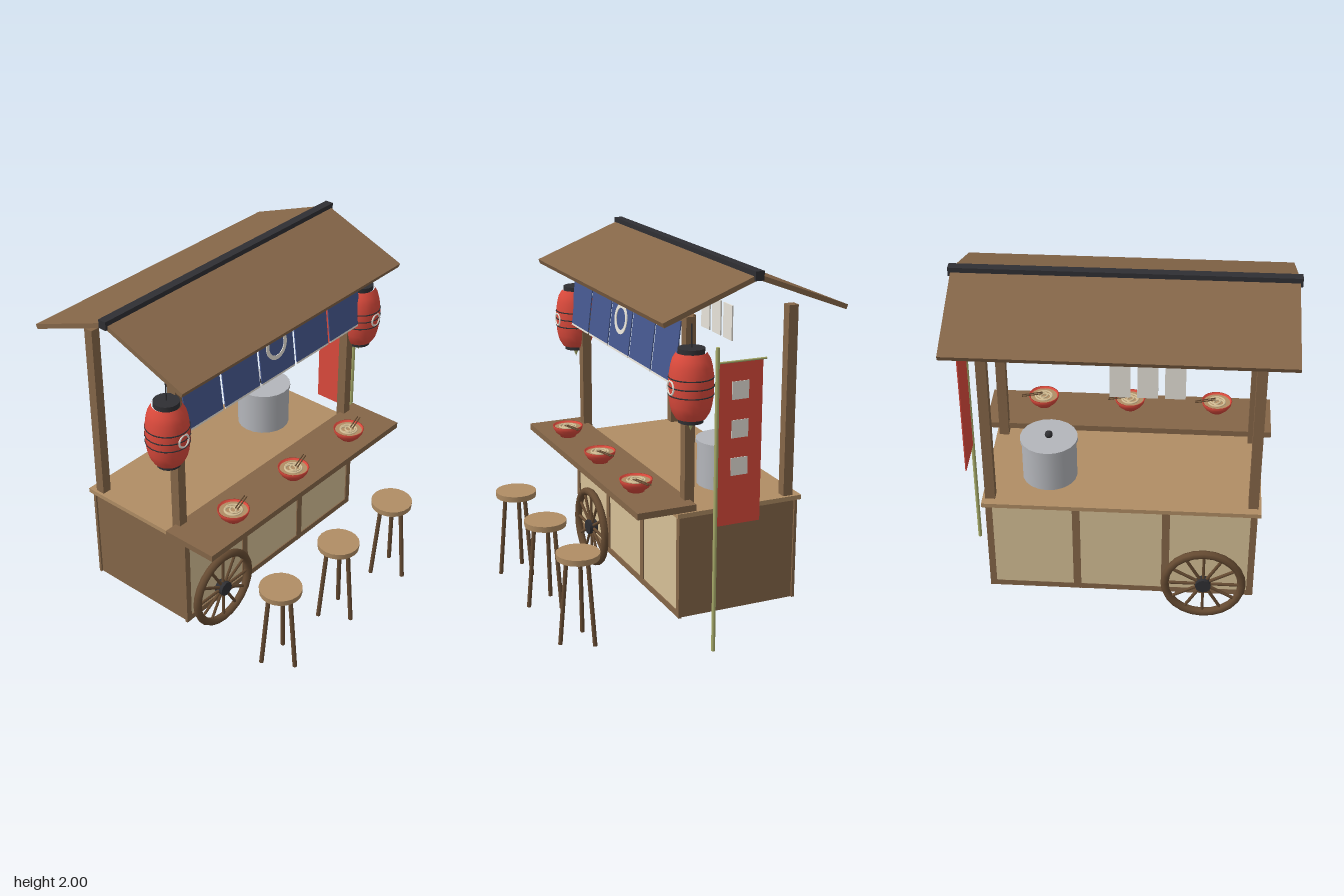
import * as THREE from 'three';

const mat = (name, color) => {
  const m = new THREE.MeshStandardMaterial({ color });
  m.name = name;
  return m;
};

export function createModel() {
  const wood = mat('wood', 0x856648);
  const darkWood = mat('dark wood', 0x664b32);
  const tan = mat('light wood', 0xb08d64);
  const cream = mat('cream panel', 0xd6c096);
  const red = mat('red', 0xdb4a3c);
  const blue = mat('blue cloth', 0x46588f);
  const black = mat('black', 0x2f2f33);
  const metal = mat('metal', 0xb4b6bb);
  const bamboo = mat('bamboo', 0xa9ad6b);
  const white = mat('white', 0xe8e4da);

  const model = new THREE.Group();
  model.name = 'foodStall';

  const group = (name, x = 0, y = 0, z = 0, parent = model) => {
    const g = new THREE.Group();
    g.name = name;
    g.position.set(x, y, z);
    parent.add(g);
    return g;
  };
  const add = (name, geo, material, x = 0, y = 0, z = 0, parent = model) => {
    const m = new THREE.Mesh(geo, material);
    m.name = name;
    m.position.set(x, y, z);
    parent.add(m);
    return m;
  };
  // Box given by its limits on each axis
  const box = (name, material, x0, x1, y0, y1, z0, z1, parent = model) =>
    add(name, new THREE.BoxGeometry(x1 - x0, y1 - y0, z1 - z0), material,
      (x0 + x1) / 2, (y0 + y1) / 2, (z0 + z1) / 2, parent);
  // Round bar between two points
  const bar = (name, material, a, b, r, parent = model, sides = 8) => {
    const p = new THREE.Vector3(...a), q = new THREE.Vector3(...b);
    const d = q.clone().sub(p);
    const m = add(name, new THREE.CylinderGeometry(r, r, d.length(), sides), material, 0, 0, 0, parent);
    m.position.copy(p).add(q).multiplyScalar(0.5);
    m.quaternion.setFromUnitVectors(new THREE.Vector3(0, 1, 0), d.normalize());
    return m;
  };
  const lathe = (pts, sides) =>
    new THREE.LatheGeometry(pts.map(([r, y]) => new THREE.Vector2(r, y)), sides);

  // Cart body with framed panels on front and back
  box('cartBody', wood, -0.72, 0.72, 0.15, 0.725, -0.545, 0.12);
  box('counterTop', tan, -0.75, 0.75, 0.72, 0.745, -0.57, 0.15);
  for (const [side, z] of [['front', 0.125], ['back', -0.55]]) {
    for (const x of [-0.713, -0.243, 0.243, 0.713]) {
      const w = Math.abs(x) > 0.5 ? 0.018 : 0.021;
      box(side + 'Stile', wood, x - w, x + w, 0.15, 0.72, z - 0.008, z + 0.008);
    }
    box(side + 'Rail', wood, -0.72, 0.72, 0.15, 0.185, z - 0.007, z + 0.007);
    for (const x of [-0.48, 0, 0.48]) {
      box(side + 'Panel', cream, x - 0.225, x + 0.225, 0.18, 0.72, z - 0.006, z + 0.001);
    }
  }

  // Serving shelf
  box('servingShelf', wood, -0.81, 0.81, 0.775, 0.81, 0.075, 0.4);

  // Posts and front beam
  for (const x of [-0.707, 0.707]) {
    for (const z of [0.079, -0.498]) {
      box('post', wood, x - 0.027, x + 0.027, 0.74, 1.775, z - 0.027, z + 0.027);
    }
  }
  box('frontBeam', wood, -0.765, 0.765, 1.72, 1.775, 0.07, 0.118);

  // Pitched roof and ridge
  const slope = Math.atan2(0.195, 0.51);
  for (const s of [1, -1]) {
    const slab = add('roofSlope', new THREE.BoxGeometry(1.76, 0.026, 0.546), wood,
      0, 1.872, -0.213 + s * 0.253);
    slab.rotation.x = s * slope;
  }
  box('roofRidge', black, -0.893, 0.893, 1.952, 2, -0.237, -0.189);

  // Wheels
  for (const z of [0.153, -0.575]) {
    const wheel = group('wheel', -0.455, 0.238, z);
    add('rim', new THREE.TorusGeometry(0.213, 0.023, 8, 24), darkWood, 0, 0, 0, wheel);
    for (let i = 0; i < 12; i++) {
      const a = i * Math.PI / 6;
      bar('spoke', darkWood, [0, 0, 0], [0.205 * Math.cos(a), 0.205 * Math.sin(a), 0], 0.009, wheel, 6);
    }
    bar('hub', black, [0, 0, -0.026], [0, 0, 0.026], 0.043, wheel, 12);
  }

  // Three-legged stools
  for (const x of [-0.5, 0, 0.5]) {
    const stool = group('stool', x, 0, 0.603);
    add('seat', new THREE.CylinderGeometry(0.117, 0.115, 0.033, 20), tan, 0, 0.503, 0, stool);
    for (let i = 0; i < 3; i++) {
      const a = Math.PI / 2 + i * Math.PI * 2 / 3;
      const c = Math.cos(a), s = Math.sin(a);
      bar('leg', darkWood, [0.107 * c, 0.015, 0.107 * s], [0.065 * c, 0.49, 0.065 * s], 0.0125, stool);
    }
  }

  // Bowls of noodles with chopsticks
  const bowlGeo = lathe([[0, 0], [0.045, 0], [0.047, 0.008], [0.07, 0.025], [0.083, 0.046],
    [0.088, 0.066], [0.081, 0.066], [0.074, 0.048], [0, 0.048]], 20);
  for (const x of [-0.5, 0, 0.5]) {
    const bowl = group('bowl', x, 0.81, 0.275);
    add('bowlShell', bowlGeo, red, 0, 0, 0, bowl);
    add('broth', new THREE.CylinderGeometry(0.077, 0.075, 0.006, 20), tan, 0, 0.053, 0, bowl);
    for (const [r, dx, dz] of [[0.047, 0, 0], [0.028, 0.008, 0.006], [0.03, -0.012, -0.01]]) {
      const coil = add('noodle', new THREE.TorusGeometry(r, 0.006, 6, 18), cream, dx, 0.058, dz, bowl);
      coil.rotation.x = Math.PI / 2;
    }
    for (const dz of [0, 0.016]) {
      bar('chopstick', darkWood, [0.01, 0.068, 0.005 + dz], [0.125, 0.068, -0.03 + dz], 0.0035, bowl, 6);
    }
  }

  // Stock pot
  const pot = group('stockPot', 0.407, 0.745, -0.285);
  add('potBody', new THREE.CylinderGeometry(0.15, 0.15, 0.235, 20), metal, 0, 0.1175, 0, pot);
  add('potLid', new THREE.CylinderGeometry(0.157, 0.157, 0.02, 20), metal, 0, 0.243, 0, pot);
  add('lidKnob', new THREE.SphereGeometry(0.022, 12, 8), black, 0, 0.267, 0, pot);

  // Curtain of five cloths, hanging slightly forward
  const curtain = group('curtain', 0, 1.745, 0.124);
  curtain.rotation.x = -0.12;
  for (let i = -2; i <= 2; i++) {
    const x = i * 0.29;
    box('curtainCloth', blue, x - 0.136, x + 0.136, -0.315, 0, -0.003, 0.003, curtain);
    box('curtainHem', white, x - 0.136, x + 0.136, -0.326, -0.315, -0.003, 0.003, curtain);
  }
  const ring = new THREE.Shape().absarc(0, 0, 0.083, 0, Math.PI * 2);
  ring.holes.push(new THREE.Path().absarc(0, 0, 0.06, 0, Math.PI * 2, true));
  add('curtainRing', new THREE.ExtrudeGeometry(ring, { depth: 0.004, bevelEnabled: false, curveSegments: 16 }),
    white, 0, -0.142, 0.003, curtain);

  // Paper lanterns
  const lanternR = y => 0.066 + 0.049 * Math.sqrt(Math.max(0, 1 - (y / 0.172) ** 2));
  const profile = [];
  for (let i = 0; i <= 10; i++) {
    const y = -0.168 + i * 0.0336;
    profile.push([lanternR(y), y]);
  }
  const paper = lathe(profile, 20);
  for (const x of [-0.795, 0.795]) {
    const lantern = group('lantern', x, 1.44, 0.105);
    add('lanternPaper', paper, red, 0, 0, 0, lantern);
    add('topCap', new THREE.CylinderGeometry(0.068, 0.068, 0.028, 20), black, 0, 0.176, 0, lantern);
    add('bottomCap', new THREE.CylinderGeometry(0.064, 0.064, 0.028, 20), black, 0, -0.176, 0, lantern);
    for (const y of [-0.044, 0, 0.044]) {
      const hoop = add('hoop', new THREE.TorusGeometry(lanternR(y), 0.0035, 6, 20), black, 0, y, 0, lantern);
      hoop.rotation.x = Math.PI / 2;
    }
    add('lanternRing', new THREE.TorusGeometry(0.034, 0.006, 6, 20), white, 0, -0.003, 0.111, lantern);
    bar('cord', black, [0, 0.18, 0], [0, 0.31, 0], 0.004, lantern, 6);
    const tassel = add('tassel', new THREE.ConeGeometry(0.02, 0.05, 8), bamboo, 0, -0.212, 0, lantern);
    tassel.rotation.x = Math.PI;
  }

  // Banner on a bamboo pole
  bar('bannerPole', bamboo, [0.885, 0.012, 0.006], [0.885, 1.64, 0.006], 0.011);
  bar('bannerCrossbar', bamboo, [0.885, 1.56, 0.006], [0.885, 1.56, -0.265], 0.006);
  box('bannerCloth', red, 0.882, 0.888, 0.705, 1.557, -0.245, -0.002);
  for (const y of [1.413, 1.213, 1.015]) {
    box('bannerPatch', white, 0.887, 0.891, y - 0.047, y + 0.047, -0.168, -0.074);
  }

  // Menu boards hanging at the back
  for (const x of [0.005, -0.135, -0.275]) {
    box('menuBoard', white, x - 0.053, x + 0.053, 1.43, 1.63, -0.504, -0.496);
  }

  return model;
}
